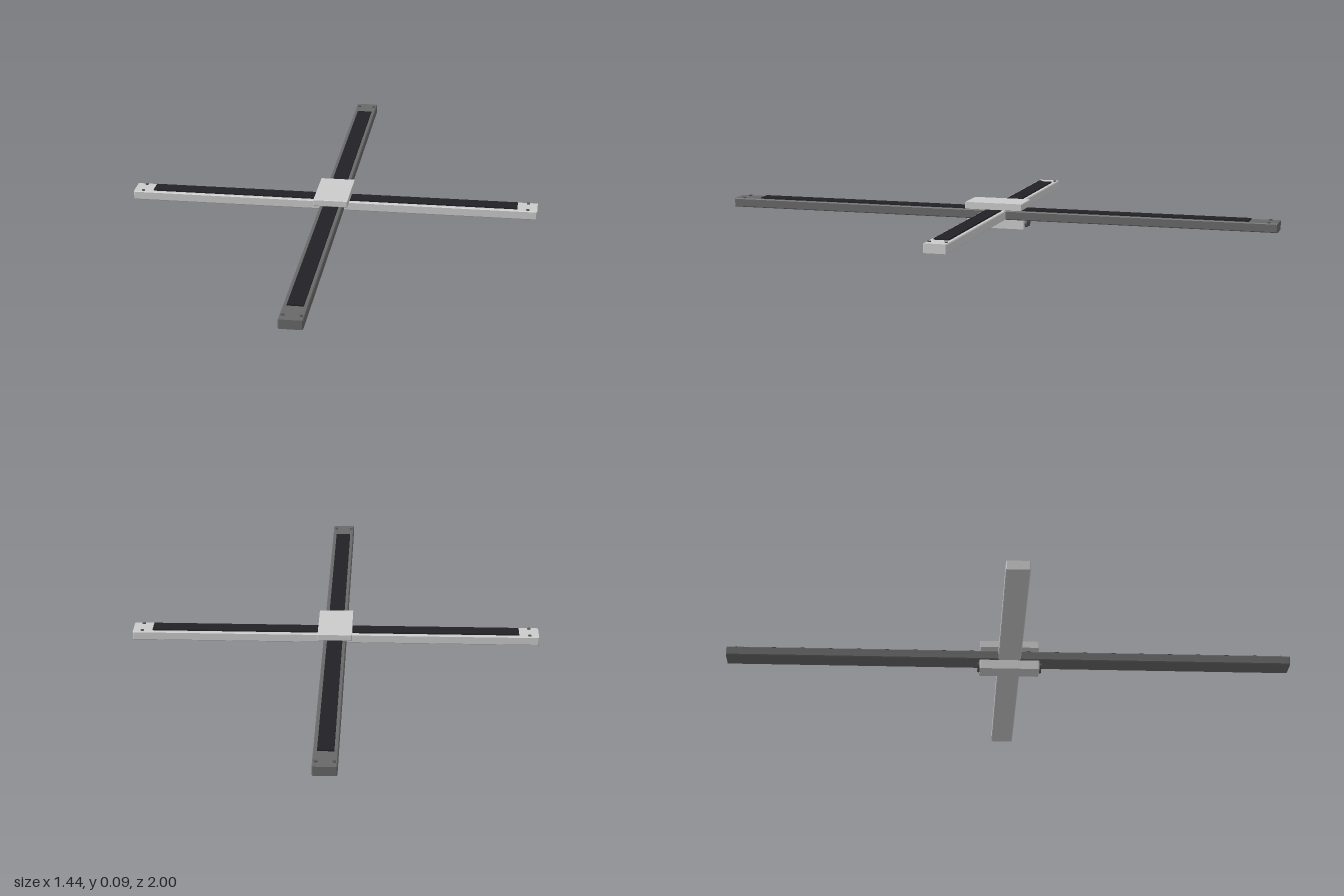
import * as THREE from 'three';

const grey = new THREE.MeshStandardMaterial({ color: 0xcccccc, flatShading: true });
const darkGrey = new THREE.MeshStandardMaterial({ color: 0x686868, flatShading: true });
const black = new THREE.MeshStandardMaterial({ color: 0x222226, flatShading: true });
const steel = new THREE.MeshStandardMaterial({ color: 0x555555 });

function add(parent, name, geometry, material, x, y, z) {
  const mesh = new THREE.Mesh(geometry, material);
  mesh.name = name;
  mesh.position.set(x, y, z);
  parent.add(mesh);
  return mesh;
}

// Box with chamfered edges, centred on its origin
function chamferBox(w, h, d, c) {
  const x = w / 2 - c, y = h / 2 - c;
  const shape = new THREE.Shape([[-x, -y], [x, -y], [x, y], [-x, y]].map(p => new THREE.Vector2(...p)));
  const geometry = new THREE.ExtrudeGeometry(shape, {
    depth: d - 2 * c, bevelEnabled: true, bevelSize: c, bevelThickness: c, bevelSegments: 1,
  });
  return geometry.translate(0, 0, c - d / 2);
}

// Rail running along x, with a cover strip on top and screws at both ends
function rail(name, length, stripLength, material) {
  const group = new THREE.Group();
  group.name = name;
  add(group, 'railBody', chamferBox(length, 0.032, 0.08, 0.003), material, 0, 0.049, 0);
  add(group, 'coverStrip', new THREE.BoxGeometry(stripLength, 0.006, 0.054), black, 0, 0.067, 0);
  for (const sx of [-1, 1]) for (const sz of [-1, 1]) {
    add(group, 'endScrew', new THREE.CylinderGeometry(0.006, 0.006, 0.004, 16), steel,
      sx * (length / 2 - 0.033), 0.066, sz * 0.029);
  }
  return group;
}

export function createModel() {
  const model = new THREE.Group();
  model.name = 'crossSlide';

  // Two crossing rails
  model.add(rail('crossRail', 1.44, 1.3, grey));
  const longRail = rail('longRail', 2, 1.8, darkGrey);
  longRail.rotation.y = Math.PI / 2;
  model.add(longRail);

  // Carriage plate over the crossing
  add(model, 'carriagePlate', chamferBox(0.12, 0.024, 0.208, 0.002), grey, 0, 0.082, 0);

  // Drive housing below, with a pair of round ports at each end
  add(model, 'driveHousing', chamferBox(0.066, 0.035, 0.212, 0.003), grey, 0, 0.0175, 0);
  for (const sz of [-1, 1]) for (const sx of [-1, 1]) {
    const port = add(model, 'port', new THREE.CylinderGeometry(0.012, 0.012, 0.008, 24), steel,
      sx * 0.0135, 0.018, sz * 0.109);
    port.rotation.x = Math.PI / 2;
  }
  return model;
}
